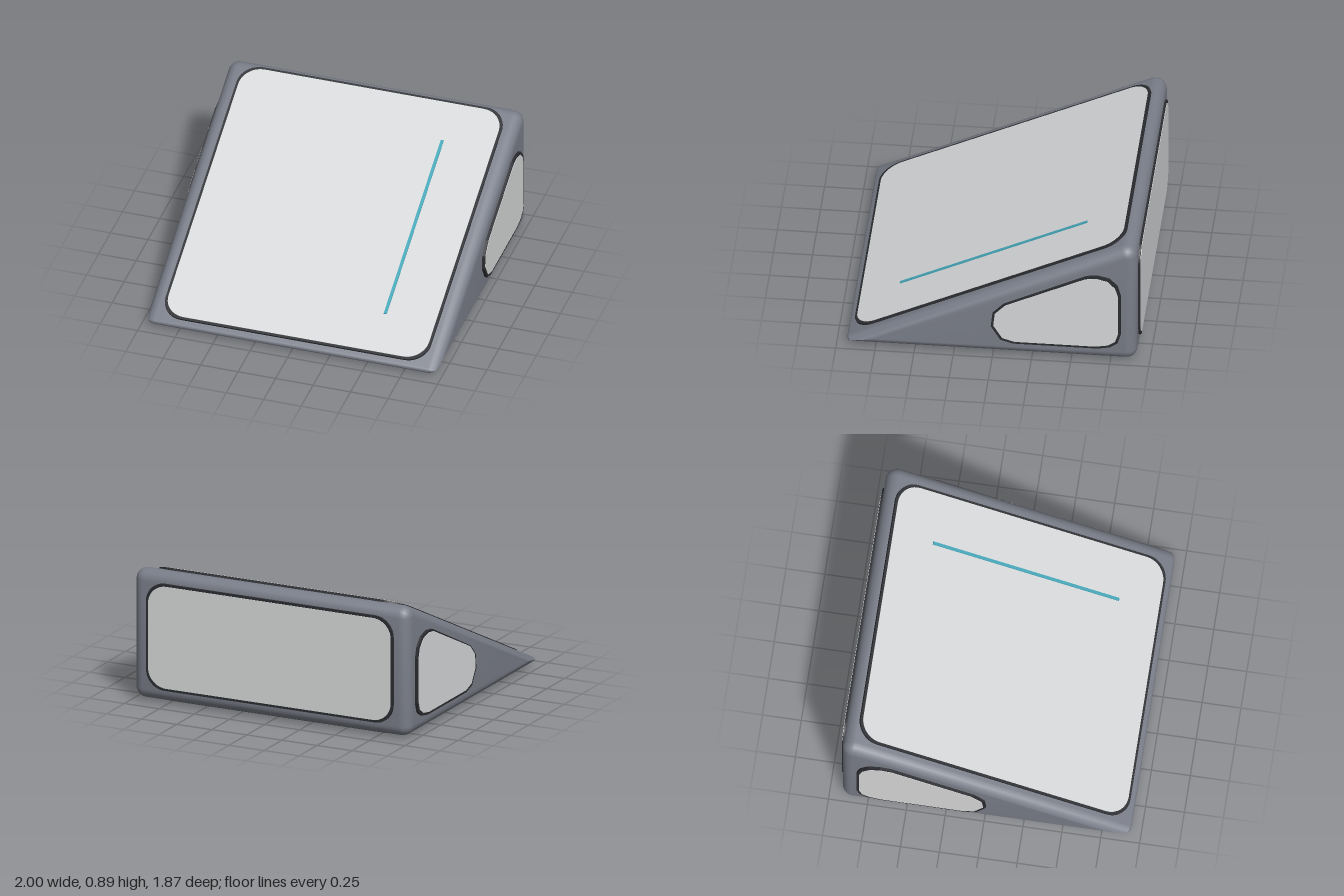
import * as THREE from 'three';
import { toCreasedNormals } from 'three/addons/utils/BufferGeometryUtils.js';

const material = (name, color) => new THREE.MeshStandardMaterial({ name, color });

// Wedge sides in the z-y plane: angle of the outward normal and distance from the origin
const SLOPE = { a: THREE.MathUtils.degToRad(64.9), c: 0.442 };
const BACK = { a: Math.PI, c: 0.92 };
const BASE = { a: Math.PI * 1.5, c: -0.018 };
const CORNERS = [
  { from: SLOPE, to: BACK, r: 0.072 },
  { from: BACK, to: BASE, r: 0.072 },
  { from: BASE, to: { a: SLOPE.a + Math.PI * 2, c: SLOPE.c }, r: 0.02 },
];

// Rounded wedge outline, pulled inwards by the inset
function wedgeRing(x, inset) {
  const steps = 6, ring = [];
  for (const { from, to, r } of CORNERS) {
    const R = Math.max(r, inset), p = from.c - R, q = to.c - R;
    const det = Math.sin(to.a - from.a);
    const z = (p * Math.sin(to.a) - q * Math.sin(from.a)) / det;
    const y = (q * Math.cos(from.a) - p * Math.cos(to.a)) / det;
    for (let i = 0; i <= steps; i++) {
      const a = from.a + (to.a - from.a) * i / steps;
      ring.push([x, y + Math.sin(a) * (R - inset), z + Math.cos(a) * (R - inset)]);
    }
  }
  return ring;
}

// Body lofted from side to side, with rounded side edges
function bodyGeometry() {
  const half = 0.98, bevel = 0.07, steps = 6, rings = [];
  for (const side of [-1, 1]) {
    for (let i = 0; i <= steps; i++) {
      const t = (side < 0 ? steps - i : i) / steps * Math.PI / 2;
      rings.push(wedgeRing(side * (half - bevel + bevel * Math.sin(t)), bevel * (1 - Math.cos(t))));
    }
  }
  const n = rings[0].length, index = [];
  for (let k = 0; k < rings.length - 1; k++) {
    for (let j = 0; j < n; j++) {
      const a = k * n + j, a1 = k * n + (j + 1) % n;
      index.push(a, a + n, a1, a1, a + n, a1 + n);
    }
  }
  const last = (rings.length - 1) * n;
  for (let j = 1; j < n - 1; j++) {
    index.push(0, j, j + 1, last, last + j + 1, last + j);
  }
  const geometry = new THREE.BufferGeometry();
  geometry.setAttribute('position', new THREE.Float32BufferAttribute(rings.flat(2), 3));
  geometry.setIndex(index);
  return toCreasedNormals(geometry, 0.6);
}

// Rounded rectangle outline centred on the origin
function roundedRect(w, h, r) {
  const s = new THREE.Shape();
  [[1, 1], [-1, 1], [-1, -1], [1, -1]].forEach(([sx, sy], i) =>
    s.absarc(sx * (w - r), sy * (h - r), r, i * Math.PI / 2, (i + 1) * Math.PI / 2));
  return s.getPoints(5);
}

function plate(points, depth) {
  return new THREE.ExtrudeGeometry(new THREE.Shape(points), { depth, bevelEnabled: false });
}

export function createModel() {
  const bodyGrey = material('bodyGrey', 0x7a7e89);
  const rimBlack = material('rimBlack', 0x2c2d31);
  const panelGrey = material('panelGrey', 0xd8d9da);
  const stripTeal = material('stripTeal', 0x43a6b8);

  const model = new THREE.Group();
  model.name = 'wedge';
  const add = (parent, name, geometry, mat) => {
    const mesh = new THREE.Mesh(geometry, mat);
    mesh.name = name;
    parent.add(mesh);
    return mesh;
  };
  add(model, 'body', bodyGeometry(), bodyGrey);

  // Dark rim with a pale plate on it; local z = 0 is the outer face
  function panel(name, points, half, right, up, origin) {
    const group = new THREE.Group();
    group.name = name;
    const normal = new THREE.Vector3().crossVectors(right, up);
    group.applyMatrix4(new THREE.Matrix4().makeBasis(right, up, normal).setPosition(origin));
    const inset = 0.016;
    const inner = points.map(p => new THREE.Vector2(
      p.x * (1 - inset / half[0]), p.y * (1 - inset / half[1])));
    add(group, name + 'Rim', plate(points, 0.03), rimBlack).position.z = -0.033;
    add(group, name + 'Plate', plate(inner, 0.004), panelGrey).position.z = -0.004;
    model.add(group);
    return group;
  }
  const V = (x, y, z) => new THREE.Vector3(x, y, z);
  const rectPanel = (name, w, h, r, right, up, origin) =>
    panel(name, roundedRect(w, h, r), [w, h], right, up, origin);

  // Sloping front, back and base panels
  const sn = Math.sin(SLOPE.a), cs = Math.cos(SLOPE.a);
  const up = V(0, cs, -sn);
  const slopeOrigin = V(0, sn, cs).multiplyScalar(0.457).addScaledVector(up, 0.173);
  const slope = rectPanel('slopePanel', 0.885, 0.957, 0.14, V(1, 0, 0), up, slopeOrigin);
  rectPanel('backPanel', 0.88, 0.355, 0.13, V(-1, 0, 0), V(0, 1, 0), V(0, 0.455, -0.935));
  rectPanel('basePanel', 0.88, 0.85, 0.13, V(1, 0, 0), V(0, 0, 1), V(0, 0, 0.03));

  // Thin teal line on the slope
  add(slope, 'tealStrip', new THREE.BoxGeometry(0.02, 1.32, 0.008), stripTeal)
    .position.set(0.535, 0, 0.002);

  // Side panels, outline as (distance towards the back, height)
  const outline = [
    [-0.01, 0.24], [0.05, 0.14], [0.13, 0.115], [0.67, 0.115], [0.75, 0.13], [0.8, 0.165],
    [0.82, 0.23], [0.82, 0.53], [0.8, 0.6], [0.75, 0.655], [0.67, 0.675], [0.6, 0.665],
    [0.07, 0.41], [0, 0.335],
  ];
  for (const side of [1, -1]) {
    const points = outline.map(([b, y]) => new THREE.Vector2(side * (b - 0.405), y - 0.395));
    panel(side > 0 ? 'leftPanel' : 'rightPanel', points, [0.415, 0.28],
      V(0, 0, -side), V(0, 1, 0), V(side, 0.395, -0.405));
  }
  return model;
}
